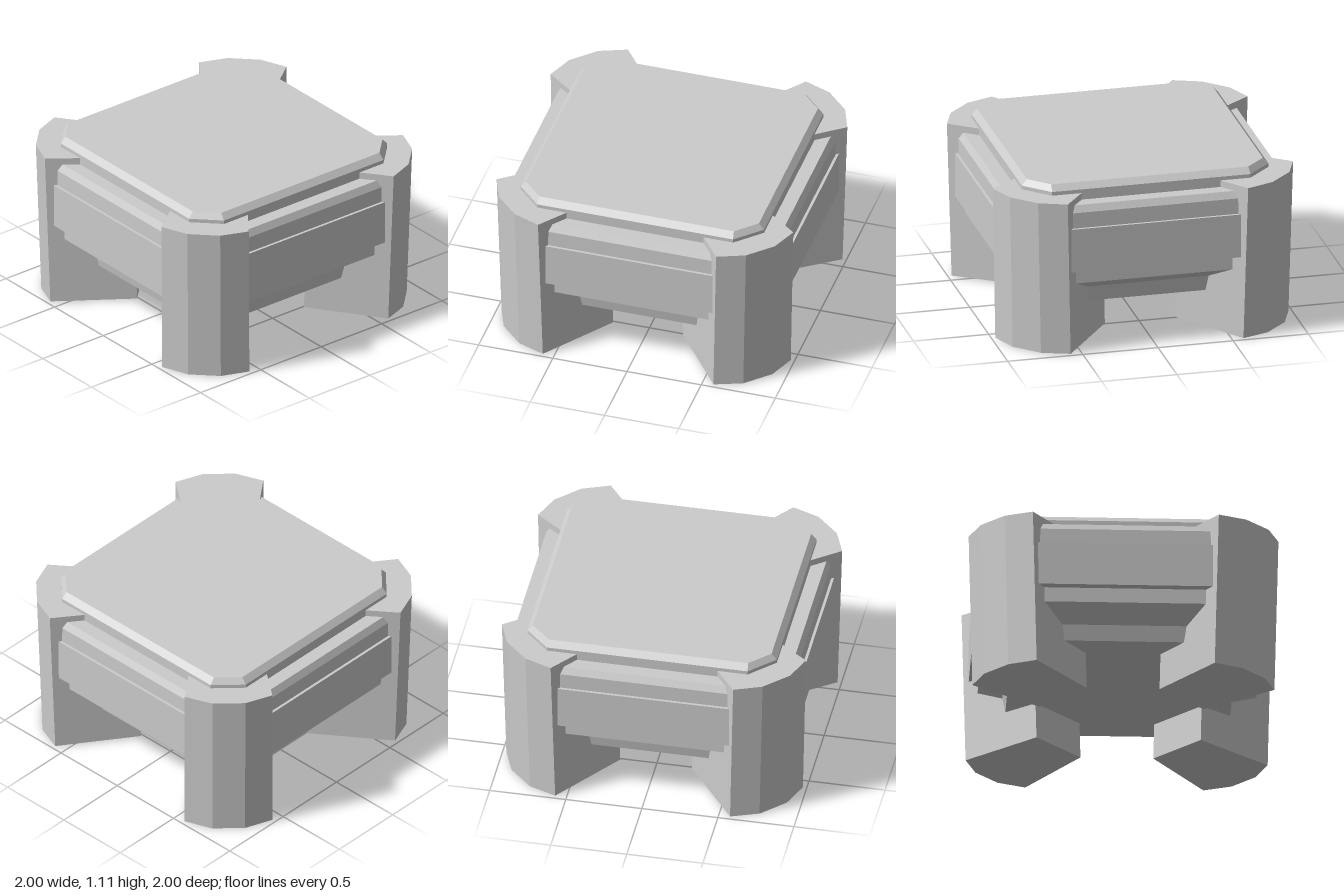
import * as THREE from 'three';

const material = new THREE.MeshStandardMaterial({ color: 0xcccccc, flatShading: true, roughness: 0.8 });

// Square outline of half-width d with corners cut by c, as [x, z] pairs
function cutSquare(d, c) {
  const points = [];
  let pair = [[c - d, d], [d - c, d]];
  for (let i = 0; i < 4; i++) {
    points.push(...pair);
    pair = pair.map(([x, z]) => [z, -x]);
  }
  return points;
}

// Closed solid through stacked rings of [x, y, z] points, lowest ring first
function loft(rings) {
  const out = [];
  const n = rings[0].length;
  const tri = (a, b, c) => out.push(...a, ...b, ...c);
  for (let r = 0; r < rings.length - 1; r++) {
    const low = rings[r], high = rings[r + 1];
    for (let i = 0; i < n; i++) {
      const j = (i + 1) % n;
      tri(low[i], low[j], high[j]);
      tri(low[i], high[j], high[i]);
    }
  }
  const bottom = rings[0], top = rings[rings.length - 1];
  for (let i = 1; i < n - 1; i++) {
    tri(bottom[0], bottom[i + 1], bottom[i]);
    tri(top[0], top[i], top[i + 1]);
  }
  const geometry = new THREE.BufferGeometry();
  geometry.setAttribute('position', new THREE.Float32BufferAttribute(out, 3));
  geometry.computeVertexNormals();
  return geometry;
}

// Stack of cut squares from [half-width, height, corner cut] rows
const stack = (rows) =>
  loft(rows.map(([d, y, c]) => cutSquare(d, c).map(([x, z]) => [x, y, z])));

function addMesh(parent, name, geometry) {
  const mesh = new THREE.Mesh(geometry, material);
  mesh.name = name;
  parent.add(mesh);
  return mesh;
}

export function createModel() {
  const model = new THREE.Group();
  model.name = 'pedestal';

  // Stepped body with a raised belt, wide bevel and narrow foot
  addMesh(model, 'body', stack([
    [0.725, 0.26, 0.25],
    [0.745, 0.365, 0.25],
    [0.9, 0.455, 0.28],
    [0.9, 0.555, 0.28],
    [0.955, 0.555, 0.3],
    [0.955, 0.85, 0.3],
    [0.937, 0.85, 0.3],
    [0.935, 0.955, 0.3],
    [0.91, 1.0, 0.3],
  ]));

  // Top slab with cut corners and a bevelled rim
  addMesh(model, 'topSlab', stack([
    [0.82, 0.95, 0.16],
    [0.82, 1.07, 0.16],
    [0.785, 1.11, 0.13],
  ]));

  // Corner legs: rounded outside, wedge inside, leaning slightly outward
  const outline = [[0.6, 1], [0.78, 0.93], [0.93, 0.78], [1, 0.6], [0.555, 0.26], [0.26, 0.555]];
  const lean = 0.025;
  const foot = outline.map(([x, z]) => [x - lean, Math.max(0, (1.71 - x - z) * 0.017), z - lean]);
  const head = outline.map(([x, z]) => [x, 1.045, z]);
  const legGeometry = loft([foot, head]);
  const legNames = ['frontLeftLeg', 'backLeftLeg', 'backRightLeg', 'frontRightLeg'];
  legNames.forEach((name, i) => {
    addMesh(model, name, legGeometry).rotation.y = (i * Math.PI) / 2;
  });

  return model;
}
